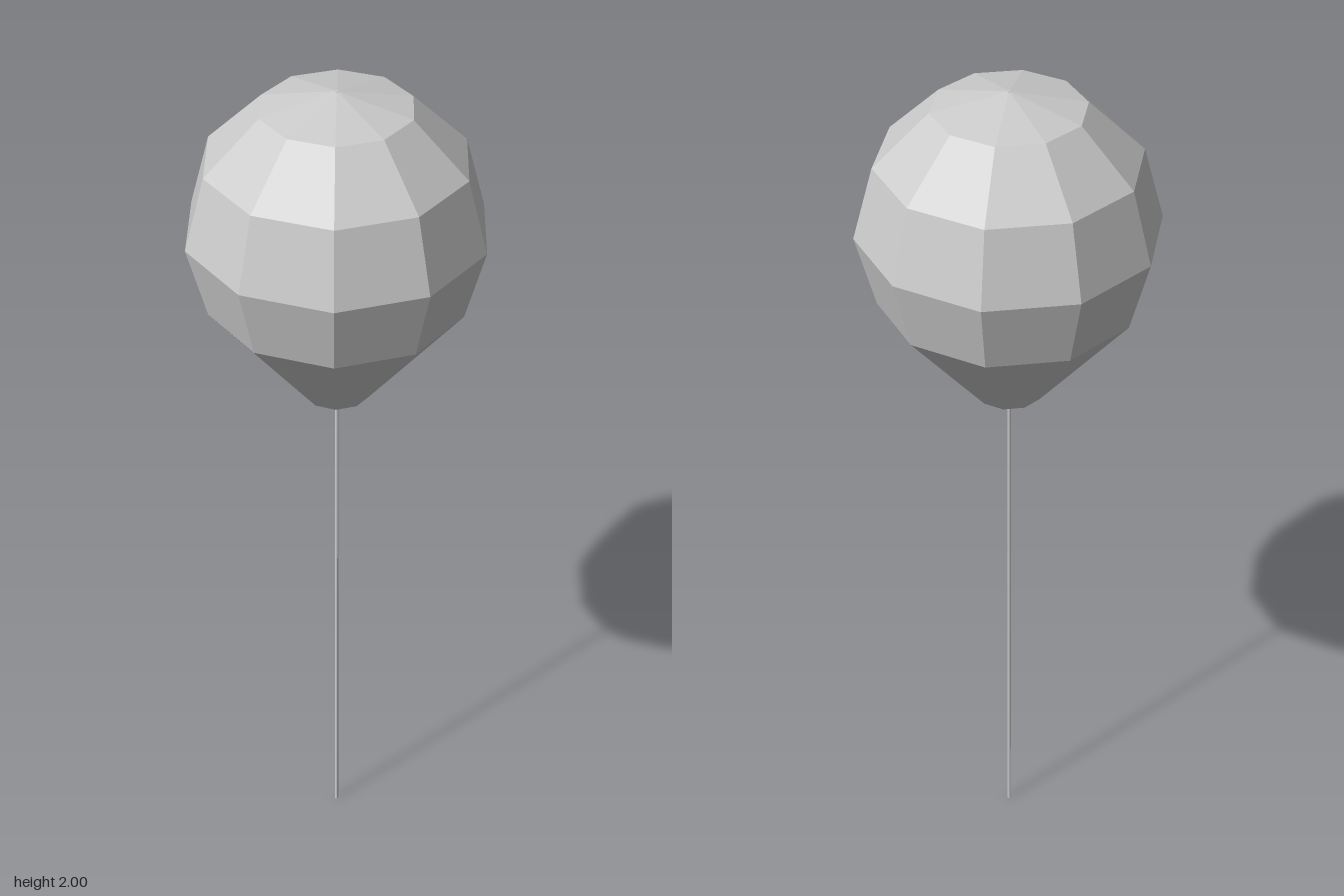
import * as THREE from 'three';

export function createModel() {
  const model = new THREE.Group();
  const material = new THREE.MeshStandardMaterial({ color: 0xcccccc, flatShading: true });

  // Faceted ten-sided balloon, profile from the bottom tip to the crown
  const profile = [
    [0, 1.228], [0.076, 1.264], [0.284, 1.517], [0.328, 1.681],
    [0.284, 1.845], [0.164, 1.963], [0, 2],
  ].map(([r, y]) => new THREE.Vector2(r, y));
  const balloon = new THREE.Mesh(new THREE.LatheGeometry(profile, 10, Math.PI / 2), material);
  balloon.name = 'balloon';

  // Thin straight string, running up through the balloon to its crown
  const string = new THREE.Mesh(new THREE.CylinderGeometry(0.004, 0.004, 2, 8), material);
  string.name = 'string';
  string.position.y = 1;

  model.add(balloon, string);
  return model;
}
